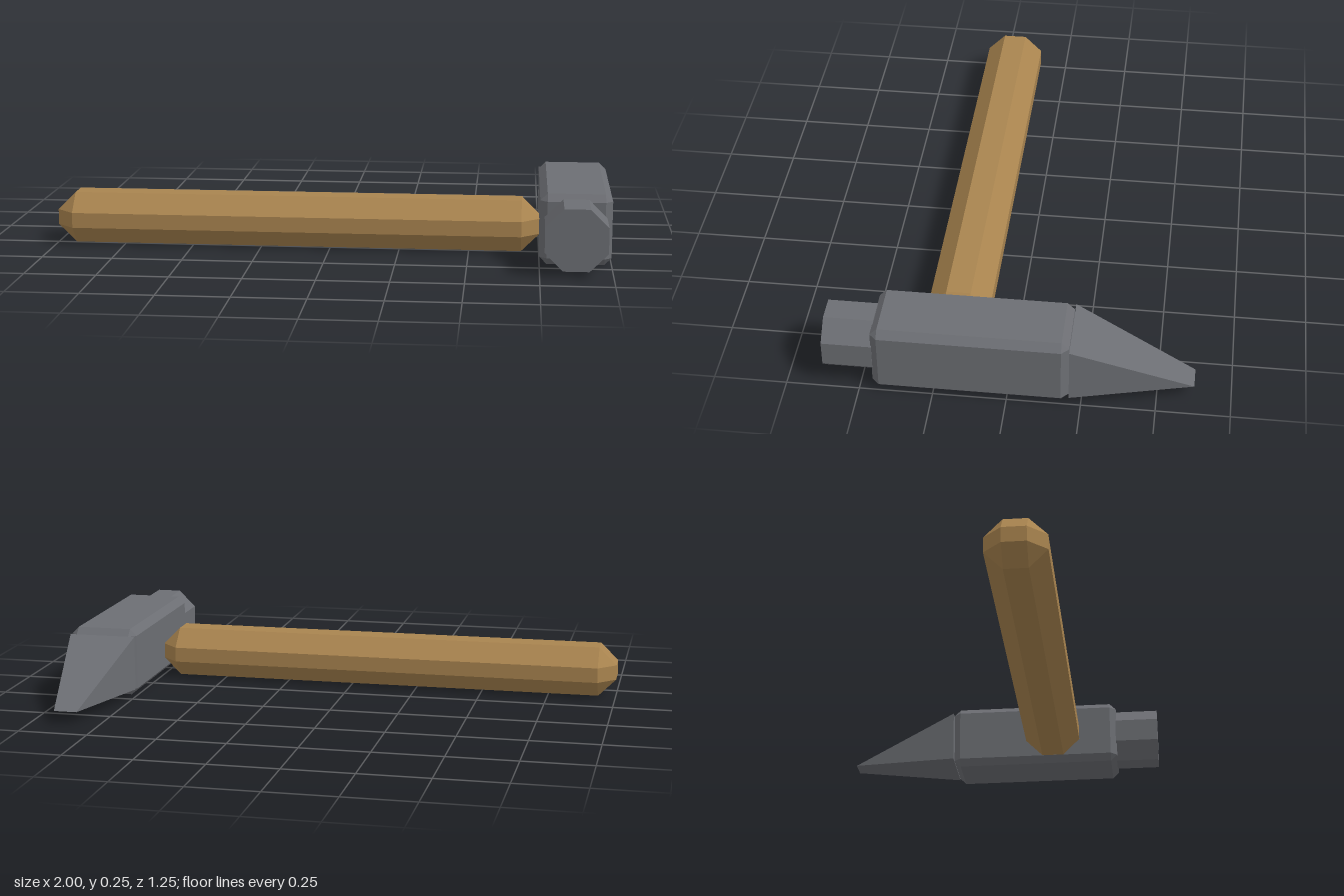
import * as THREE from 'three';
import { ConvexGeometry } from 'three/addons/geometries/ConvexGeometry.js';

// Box with every edge cut at 45 degrees by c, given its min and max corners
function chamferedBox(min, max, c) {
  const half = max.map((v, i) => (v - min[i]) / 2);
  const mid = max.map((v, i) => (v + min[i]) / 2);
  const points = [];
  for (const sx of [-1, 1]) for (const sy of [-1, 1]) for (const sz of [-1, 1]) {
    const s = [sx, sy, sz];
    for (let axis = 0; axis < 3; axis++) {
      points.push(new THREE.Vector3(
        ...s.map((sign, i) => mid[i] + sign * (half[i] - (i === axis ? 0 : c)))));
    }
  }
  return new ConvexGeometry(points);
}

export function createModel() {
  const group = new THREE.Group();
  const wood = new THREE.MeshStandardMaterial({ color: 0xa9844f, flatShading: true });
  wood.name = 'wood';
  const steel = new THREE.MeshStandardMaterial({ color: 0x6c6e73, flatShading: true });
  steel.name = 'steel';

  const add = (name, geometry, material) => {
    const mesh = new THREE.Mesh(geometry, material);
    mesh.name = name;
    group.add(mesh);
    return mesh;
  };

  // Handle, butting against the side of the head
  add('handle', chamferedBox([-1, 0, 0.095], [0.752, 0.185, 0.31], 0.065), wood);

  // Main block of the head
  add('headBlock', chamferedBox([0.75, 0, -0.208], [1, 0.25, 0.458], 0.025), steel);

  // Octagonal striking face
  const poll = new THREE.CylinderGeometry(0.1165, 0.1165, 0.17, 8);
  poll.rotateY(Math.PI / 8).rotateX(Math.PI / 2);
  add('strikingFace', poll, steel).position.set(0.873, 0.127, 0.54);

  // Wedge narrowing to a low horizontal edge
  const wedgePoints = [];
  for (const s of [-1, 1]) {
    wedgePoints.push(
      new THREE.Vector3(0.874 + s * 0.124, 0.027, -0.21),
      new THREE.Vector3(0.874 + s * 0.124, 0.227, -0.21),
      new THREE.Vector3(0.873 + s * 0.042, 0.044, -0.625));
  }
  add('wedge', new ConvexGeometry(wedgePoints), steel);

  return group;
}
